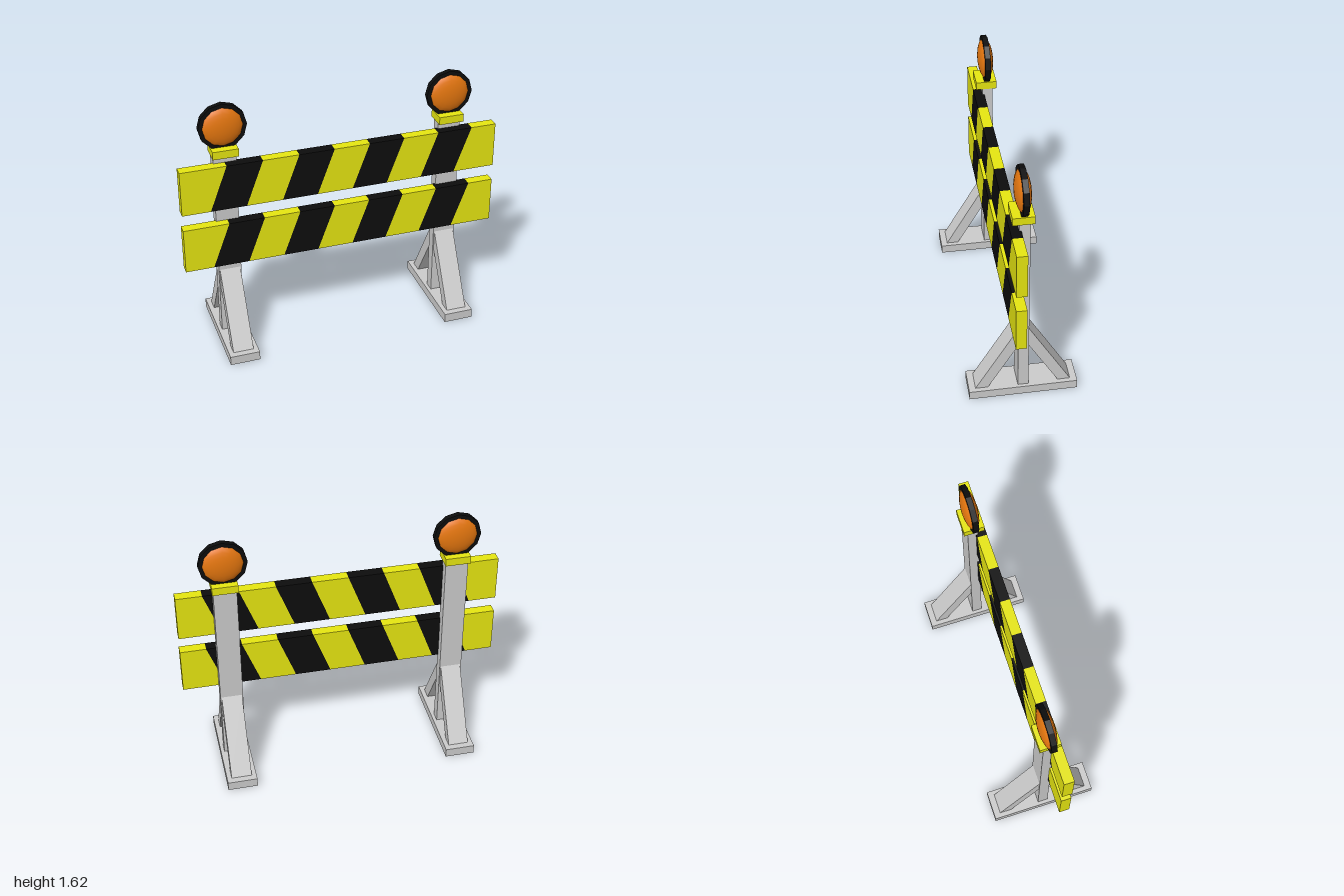
import * as THREE from 'three';

const mat = (color) => new THREE.MeshStandardMaterial({ color });
const flat = (color) => { const m = mat(color); m.flatShading = true; return m; };

export function createModel() {
  const model = new THREE.Group();
  const grey = mat(0xcccccc), yellow = mat(0xe6e611), black = flat(0x0d0d0d), orange = mat(0xe8780f);

  const add = (parent, name, geometry, material, x = 0, y = 0, z = 0) => {
    const mesh = new THREE.Mesh(geometry, material);
    mesh.name = name;
    mesh.position.set(x, y, z);
    parent.add(mesh);
    return mesh;
  };
  const prism = (points, depth) => new THREE.ExtrudeGeometry(
    new THREE.Shape(points.map(([x, y]) => new THREE.Vector2(x, y))), { depth, bevelEnabled: false });

  // Striped boards: slanted blocks of alternating colour, cut square at the ends
  const slant = 0.108, period = 0.445, stripe = 0.221, first = -0.825;
  const cuts = [[-1, -1]];
  for (let i = 0; i < 4; i++) {
    const x = first + i * period;
    cuts.push([x, x + slant], [x + stripe, x + stripe + slant]);
  }
  cuts.push([1, 1]);
  for (const [name, y0, y1] of [['upperBoard', 0.962, 1.252], ['lowerBoard', 0.568, 0.858]]) {
    const board = new THREE.Group();
    board.name = name;
    for (let i = 0; i < cuts.length - 1; i++) {
      const [a, b] = [cuts[i], cuts[i + 1]];
      const geo = prism([[a[0], y0], [b[0], y0], [b[1], y1], [a[1], y1]], 0.064);
      add(board, i % 2 ? 'blackStripe' : 'yellowStripe', geo, i % 2 ? black : yellow, 0, 0, 0.02);
    }
    model.add(board);
  }

  // Two stands, each with foot, post, braces and warning lamp
  for (const [name, x] of [['rightStand', -0.715], ['leftStand', 0.707]]) {
    const stand = new THREE.Group();
    stand.name = name;
    stand.position.x = x;
    add(stand, 'foot', new THREE.BoxGeometry(0.187, 0.058, 0.666), grey, 0, 0.029, 0);
    add(stand, 'post', new THREE.BoxGeometry(0.142, 1.242, 0.065), grey, 0, 0.679, 0);

    // Sloping braces before and behind the post
    for (const side of [1, -1]) {
      const geo = prism([[0.215, 0.058], [0.292, 0.058], [0.032, 0.507], [0.032, 0.372]], 0.128);
      geo.translate(0, 0, -0.064);
      const brace = add(stand, side > 0 ? 'frontBrace' : 'backBrace', geo, grey);
      brace.rotation.y = -side * Math.PI / 2;
    }

    add(stand, 'lampMount', new THREE.BoxGeometry(0.158, 0.05, 0.13), yellow, 0, 1.323, 0.008);

    // Lamp: twelve-sided rim with a bulging lens through it
    const lamp = new THREE.Group();
    lamp.name = 'lamp';
    lamp.position.set(0, 1.478, 0.004);
    const rim = new THREE.CylinderGeometry(0.147, 0.147, 0.034, 12).rotateX(Math.PI / 2);
    add(lamp, 'rim', rim, black);
    const lens = new THREE.SphereGeometry(0.132, 12, 12).rotateX(Math.PI / 2).scale(1, 1, 0.36);
    add(lamp, 'lens', lens, orange);
    stand.add(lamp);
    model.add(stand);
  }
  return model;
}
